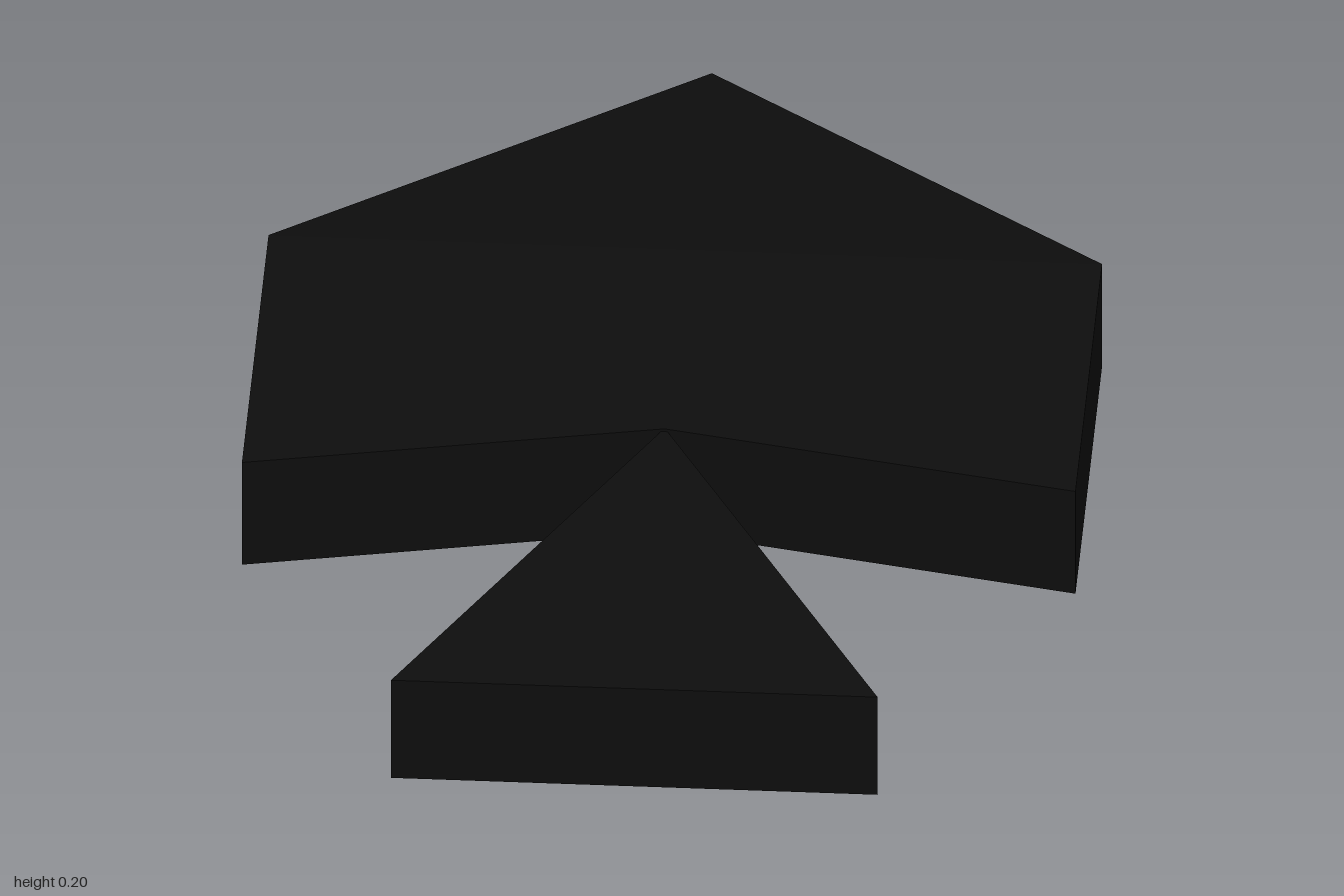
import * as THREE from 'three';

// Vertical prism from an outline of [x, z] points, between two heights
function prism(points, bottom, top) {
  const shape = new THREE.Shape(points.map(([x, z]) => new THREE.Vector2(x, z)));
  const geometry = new THREE.ExtrudeGeometry(shape, { depth: top - bottom, bevelEnabled: false });
  geometry.rotateX(Math.PI / 2).translate(0, top, 0);
  return geometry;
}

export function createModel() {
  const group = new THREE.Group();
  const black = new THREE.MeshStandardMaterial({ color: 0x0d0d0d });
  black.name = 'black';

  const halfWidth = 0.685, shoulderZ = -0.315, height = 0.2;
  const add = (name, geometry) => {
    const mesh = new THREE.Mesh(geometry, black);
    mesh.name = name;
    group.add(mesh);
  };

  // Body slab with a shallow notch in its front edge
  add('body', prism([
    [-halfWidth, shoulderZ], [halfWidth, shoulderZ],
    [halfWidth, 0.37], [0, 0.225], [-halfWidth, 0.37],
  ], 0, height));

  // Nose: a triangular prism whose far edge is pinched to a point
  const nose = prism([[0, -1], [halfWidth, shoulderZ], [-halfWidth, shoulderZ]], 0, height);
  const pos = nose.attributes.position;
  for (let i = 0; i < pos.count; i++) {
    if (pos.getZ(i) < -0.9) pos.setY(i, height / 2);
  }
  nose.computeVertexNormals();
  add('nose', nose);

  // Triangular tail, slightly thinner than the body
  add('tail', prism([[0, 0.215], [0.4, 1], [-0.4, 1]], 0.004, height - 0.005));

  return group;
}
